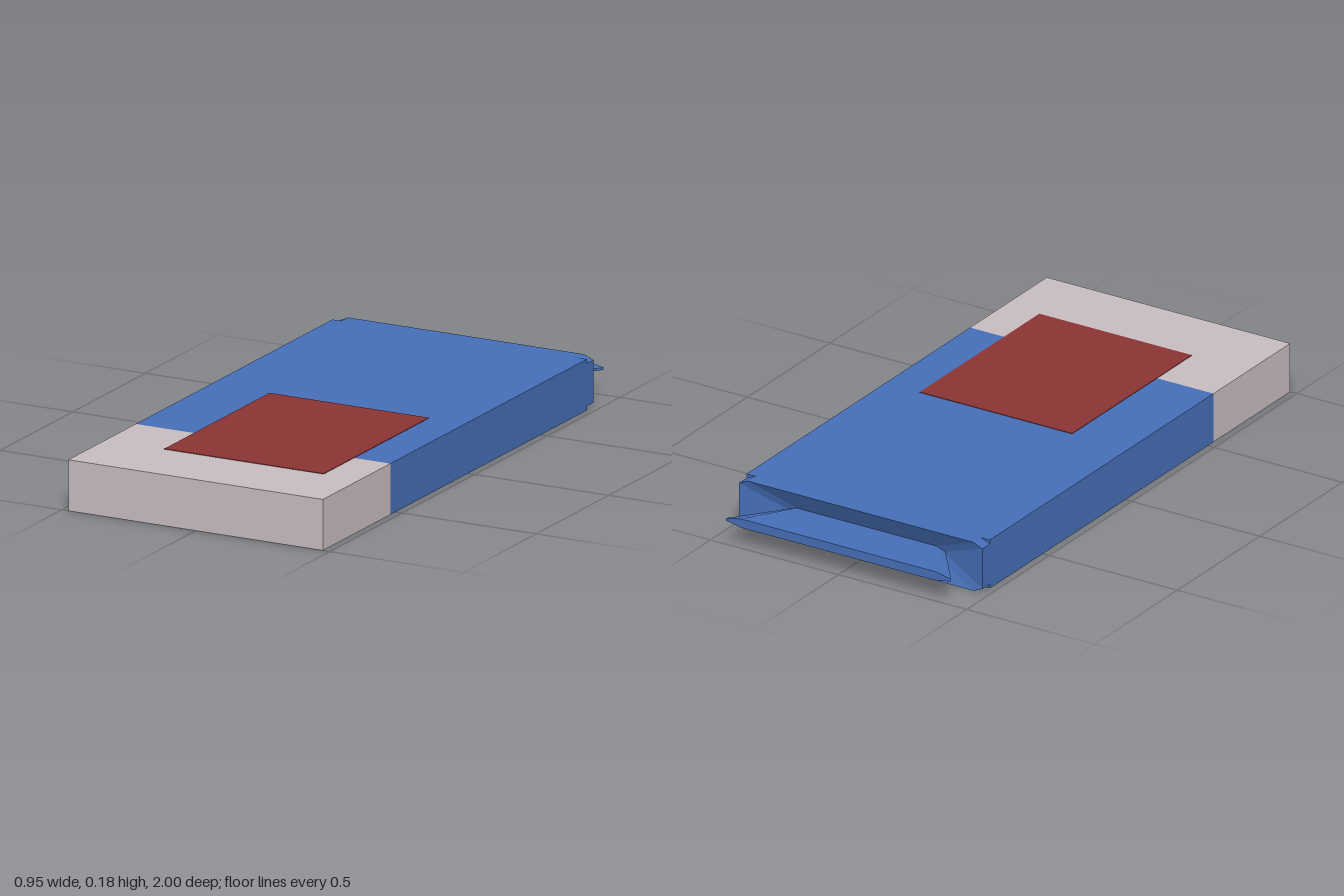
import * as THREE from 'three';

const material = (name, color) => {
  const m = new THREE.MeshStandardMaterial({ color });
  m.name = name;
  return m;
};

// Eight-sided ring: half width, centre height, half height, corner cuts, depth
const ring = (w, cy, h, cx, cyCut, z) => [
  [w, cy - h + cyCut], [w, cy + h - cyCut], [w - cx, cy + h], [cx - w, cy + h],
  [-w, cy + h - cyCut], [-w, cy - h + cyCut], [cx - w, cy - h], [w - cx, cy - h],
].map(([x, y]) => [x, y, z]);

// Joins successive rings with flat faces and closes the last one
function loft(rings) {
  const p = [];
  for (let r = 0; r < rings.length - 1; r++) {
    const a = rings[r], b = rings[r + 1];
    for (let i = 0; i < 8; i++) {
      const j = (i + 1) % 8;
      p.push(...a[i], ...b[i], ...b[j], ...a[i], ...b[j], ...a[j]);
    }
  }
  const e = rings[rings.length - 1];
  for (let i = 1; i < 7; i++) p.push(...e[0], ...e[i + 1], ...e[i]);
  const g = new THREE.BufferGeometry();
  g.setAttribute('position', new THREE.Float32BufferAttribute(p, 3));
  g.computeVertexNormals();
  return g;
}

export function createModel() {
  const group = new THREE.Group();
  group.name = 'wrappedPack';
  const blue = material('wrapper blue', 0x466fb8);
  const pale = material('pale grey', 0xc9bec2);
  const red = material('label red', 0x8b3333);

  const W = 0.95, H = 0.175, mid = H / 2;
  const add = (name, geometry, mat) => {
    const mesh = new THREE.Mesh(geometry, mat);
    mesh.name = name;
    group.add(mesh);
  };
  const slab = (name, x0, x1, y0, y1, z0, z1, mat) => add(
    name,
    new THREE.BoxGeometry(x1 - x0, y1 - y0, z1 - z0)
      .translate((x0 + x1) / 2, (y0 + y1) / 2, (z0 + z1) / 2),
    mat
  );

  // Bare front end and wrapped body
  slab('exposedEnd', -W / 2, W / 2, 0, H, 0.535, 1, pale);
  slab('wrapperBody', -W / 2, W / 2, 0, H, -0.82, 0.535, blue);

  // Tucked rim, inward folds and the flared sealed fin at the back
  add('foldedRim', loft([
    ring(W / 2, mid, mid, 0.035, 0.015, -0.82),
    ring(W / 2, mid, mid, 0.035, 0.015, -0.865),
    ring(0.308, 0.09, 0.016, 0.035, 0.012, -0.83),
  ]), blue);
  add('sealedFin', loft([
    ring(0.308, 0.09, 0.016, 0.035, 0.012, -0.83),
    ring(0.44, 0.09, 0.016, 0.06, 0.012, -1),
  ]), blue);

  // Off-centre label on the top
  slab('label', -0.255, 0.34, H - 0.002, H + 0.002, 0.02, 0.745, red);
  return group;
}
